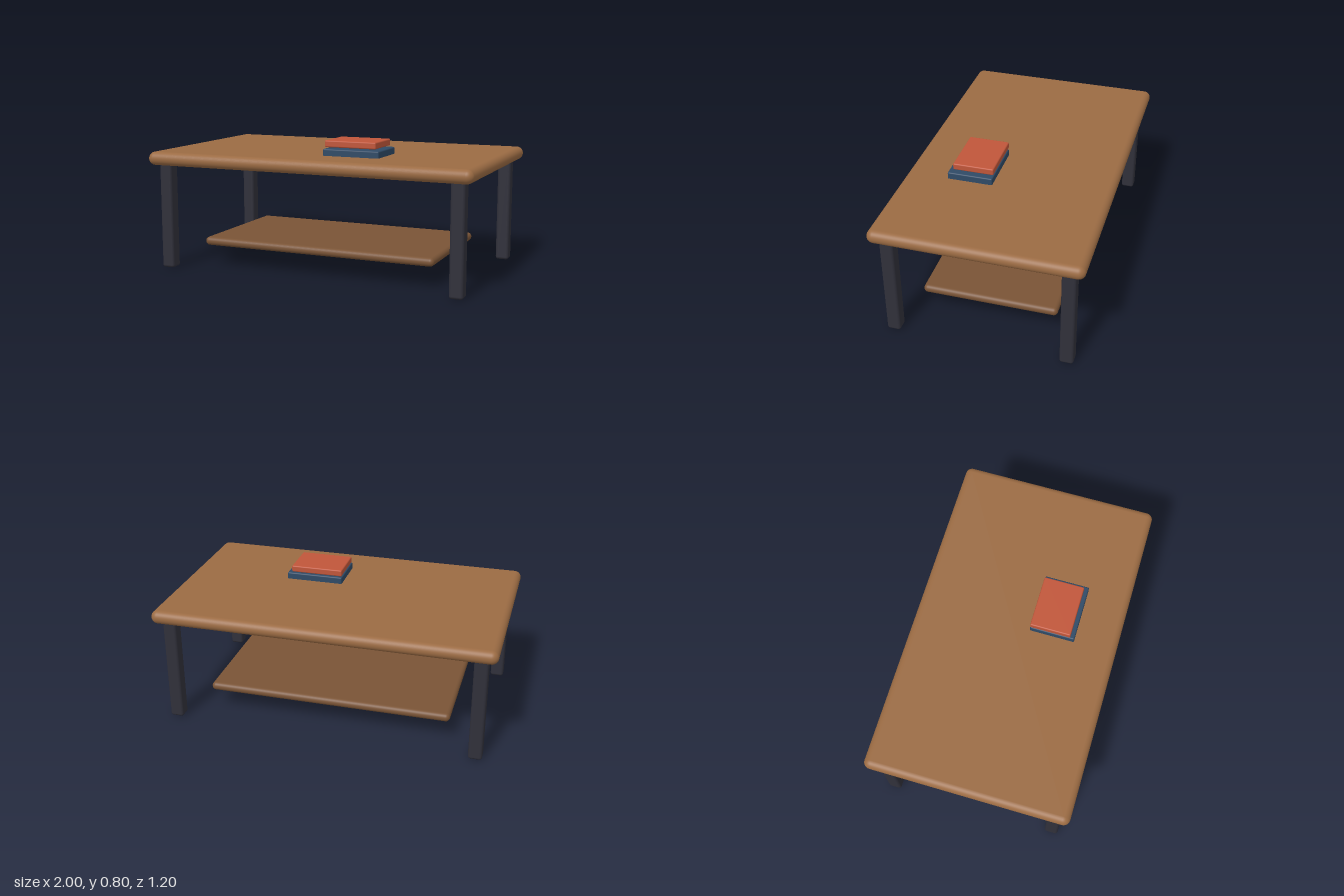
import * as THREE from 'three';
import { RoundedBoxGeometry } from 'three/addons/geometries/RoundedBoxGeometry.js';

const material = (color) => new THREE.MeshStandardMaterial({ color });

// Rounded box given by its extents [min, max] on each axis
function slab(name, [x0, x1], [y0, y1], [z0, z1], radius, mat) {
  const geometry = new RoundedBoxGeometry(x1 - x0, y1 - y0, z1 - z0, 5, radius);
  const mesh = new THREE.Mesh(geometry, mat);
  mesh.name = name;
  mesh.position.set((x0 + x1) / 2, (y0 + y1) / 2, (z0 + z1) / 2);
  return mesh;
}

export function createModel() {
  const table = new THREE.Group();
  table.name = 'coffeeTable';

  // Top and lower shelf with fully rounded edges
  table.add(
    slab('tableTop', [-1, 1], [0.63, 0.71], [-0.6, 0.6], 0.04, material(0x9b6b43)),
    slab('lowerShelf', [-0.733, 0.733], [0.125, 0.176], [-0.4, 0.4], 0.025, material(0x7a5436)),
  );

  // Four square legs, running slightly into the top
  const legMaterial = material(0x30303a);
  const half = 0.04;
  for (const sx of [-1, 1]) {
    for (const sz of [-1, 1]) {
      const x = sx * 0.907, z = sz * 0.507;
      const name = (sz > 0 ? 'front' : 'back') + (sx > 0 ? 'Left' : 'Right') + 'Leg';
      table.add(slab(name, [x - half, x + half], [0, 0.655], [z - half, z + half], 0.016, legMaterial));
    }
  }

  // Two books stacked on the top
  const books = new THREE.Group();
  books.name = 'bookStack';
  books.add(
    slab('lowerBook', [0.04, 0.385], [0.697, 0.75], [0.08, 0.347], 0.008, material(0x2f4a66)),
    slab('upperBook', [0.04, 0.357], [0.757, 0.797], [0.08, 0.322], 0.008, material(0xc0563a)),
  );
  table.add(books);

  return table;
}
